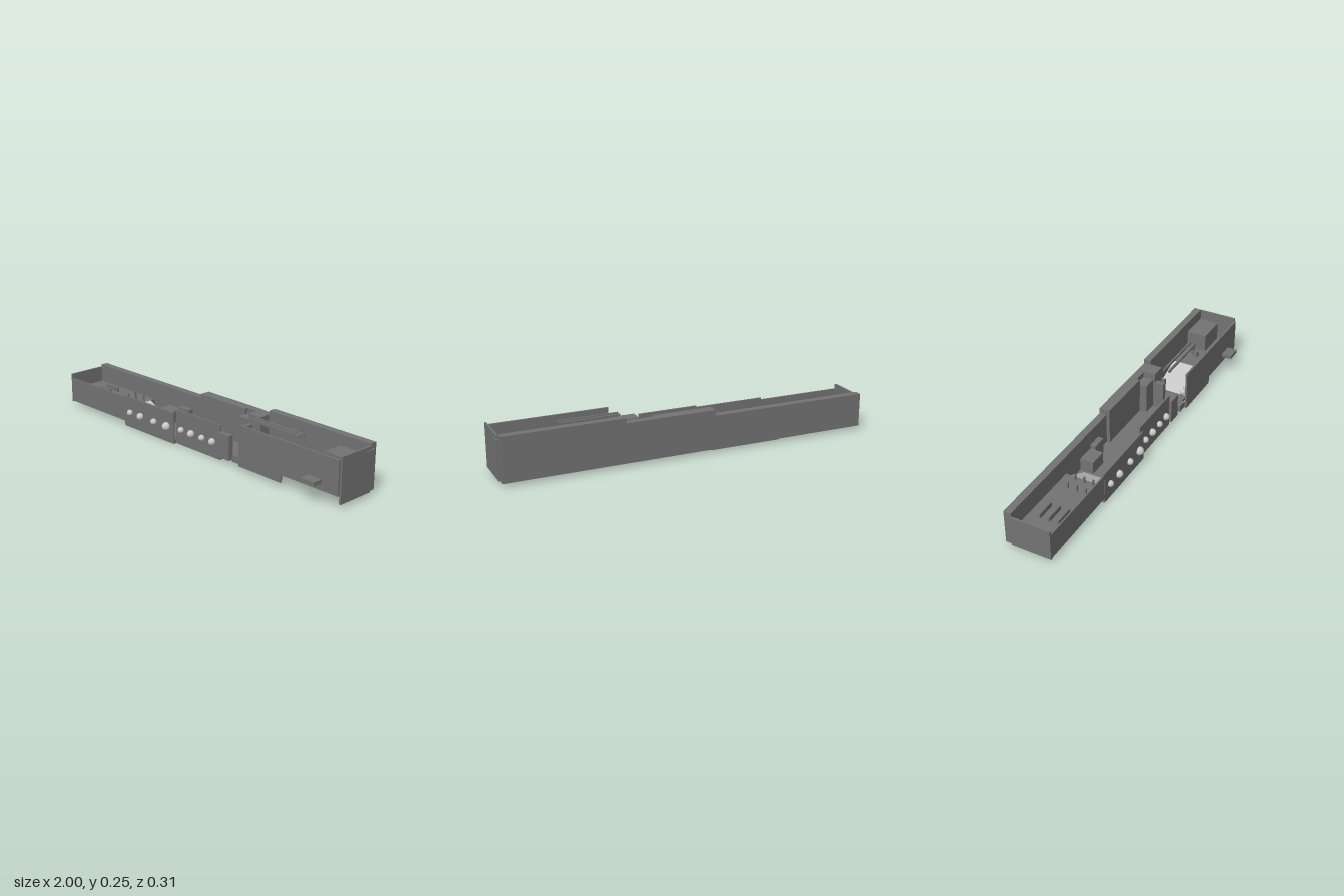
import * as THREE from 'three';

export function createModel() {
  const model = new THREE.Group();
  const grey = new THREE.MeshStandardMaterial({ color: 0x747474 });
  grey.name = 'body grey';
  const pale = new THREE.MeshStandardMaterial({ color: 0xc8c8c8 });
  pale.name = 'pale grey';

  // Box given by its extents along each axis
  function box(name, x0, x1, y0, y1, z0, z1, parent = model) {
    const mesh = new THREE.Mesh(new THREE.BoxGeometry(x1 - x0, y1 - y0, z1 - z0), grey);
    mesh.name = name;
    mesh.position.set((x0 + x1) / 2, (y0 + y1) / 2, (z0 + z1) / 2);
    parent.add(mesh);
    return mesh;
  }

  function group(name) {
    const g = new THREE.Group();
    g.name = name;
    model.add(g);
    return g;
  }

  // Sloping floor plate between two heights
  function ramp(name, x0, y0, x1, y1, z0, z1) {
    const s = new THREE.Shape();
    s.moveTo(x0, y0 - 0.012);
    s.lineTo(x1, y1 - 0.012);
    s.lineTo(x1, y1);
    s.lineTo(x0, y0);
    const geo = new THREE.ExtrudeGeometry(s, { depth: z1 - z0, bevelEnabled: false });
    const mesh = new THREE.Mesh(geo, pale);
    mesh.name = name;
    mesh.position.z = z0;
    model.add(mesh);
  }

  function ball(name, x, y, z, r, parent) {
    const mesh = new THREE.Mesh(new THREE.SphereGeometry(r, 20, 14), pale);
    mesh.name = name;
    mesh.position.set(x, y, z);
    parent.add(mesh);
  }

  // Back wall, stepping up towards +x
  const back = group('backWall');
  for (const [x0, x1, top] of [[-0.99, -0.125, 0.2], [-0.125, 0.355, 0.23], [0.355, 0.985, 0.255]]) {
    box('backWallSection', x0, x1, 0.02, top, -0.157, -0.118, back);
  }

  // End plates
  box('rightEndPlate', -1, -0.99, 0.02, 0.185, -0.118, 0.092);
  box('leftEndPlate', 0.985, 0.995, 0.02, 0.25, -0.118, 0.092);
  box('endTab', 0.985, 1, 0.227, 0.232, -0.13, -0.082);

  // Floors: raised at both ends, low in the middle
  box('rightRaisedFloor', -0.99, -0.52, 0.025, 0.1, -0.118, 0.092);
  box('lowFloor', -0.52, 0.2, 0.02, 0.035, -0.118, 0.075);
  box('connectingFloor', 0.2, 0.44, 0.02, 0.035, -0.118, 0.06);
  box('leftRaisedFloor', 0.64, 0.985, 0.085, 0.1, -0.118, 0.092);
  box('widePad', -0.52, -0.125, 0, 0.02, -0.118, 0.092);
  box('narrowPad', -0.125, 0.2, 0, 0.02, -0.097, 0.075);
  ramp('rightRamp', -0.52, 0.1, -0.4, 0.035, -0.09, 0.09);
  ramp('leftRamp', 0.44, 0.035, 0.64, 0.1, -0.118, 0.092);

  // Front panels
  box('rightFrontLip', -0.99, -0.52, 0.1, 0.16, 0.084, 0.092);
  box('outerFrontPanel', -0.52, -0.125, 0, 0.17, 0.086, 0.094);
  box('innerFrontPanel', -0.125, 0.2, 0, 0.185, 0.066, 0.075);
  box('leftFrontPanel', 0.355, 0.64, 0.02, 0.235, 0.092, 0.102);
  box('leftUpperPanel', 0.64, 0.985, 0.06, 0.235, 0.092, 0.102);
  box('sideStep', 0.81, 0.89, 0.095, 0.115, 0.09, 0.157);

  // Joint between the two halves
  const joint = group('joint');
  box('jointFront', 0.2, 0.275, 0.02, 0.15, 0.06, 0.088, joint);
  box('jointLowBlock', 0.3, 0.355, 0.025, 0.06, 0.05, 0.09, joint);
  box('jointPost', 0.275, 0.3, 0.02, 0.185, -0.08, 0.0, joint);
  box('jointBackBlock', 0.2, 0.275, 0.02, 0.2, -0.118, -0.06, joint);
  box('jointTallBlock', 0.275, 0.355, 0.02, 0.235, -0.118, -0.05, joint);

  // Stepped boxes along the back wall
  box('deepBench', -0.39, -0.29, 0.035, 0.1, -0.118, -0.045);
  box('shallowBench', -0.29, -0.21, 0.035, 0.12, -0.118, -0.088);
  box('wallLedge', -0.125, 0.2, 0.035, 0.23, -0.118, -0.1);

  // Bars and pegs on the raised floor
  const fittings = group('floorFittings');
  for (const z of [-0.055, -0.005, 0.045]) {
    box('floorBar', -0.86, -0.76, 0.1, 0.125, z - 0.005, z + 0.005, fittings);
    for (const x of [-0.61, -0.54]) box('peg', x - 0.004, x + 0.004, 0.1, 0.135, z - 0.004, z + 0.004, fittings);
  }

  // Long rails and equipment in the left half
  for (const z of [-0.03, 0]) box('rail', 0.34, 0.66, 0.225, 0.237, z - 0.005, z + 0.005);
  box('leftCabinet', 0.81, 0.975, 0.1, 0.2, -0.116, -0.005);
  box('frontLocker', 0.72, 0.8, 0.1, 0.13, 0.065, 0.09);
  for (const [x, z] of [[0.4, -0.065], [0.74, -0.03], [0.77, -0.07]]) {
    box('smallBox', x - 0.011, x + 0.011, 0.035, 0.13, z - 0.013, z + 0.013);
  }

  // Round knobs along the front
  const knobs = group('knobs');
  for (const [x, r] of [[-0.47, 0.017], [-0.385, 0.02], [-0.275, 0.018], [-0.175, 0.023]]) {
    ball('outerKnob', x, 0.085, 0.1, r, knobs);
  }
  for (const [x, r] of [[-0.08, 0.017], [-0.005, 0.02], [0.075, 0.017], [0.15, 0.019]]) {
    ball('innerKnob', x, 0.085, 0.083, r, knobs);
  }
  for (const x of [0.38, 0.42]) ball('insideKnob', x, 0.1, 0.066, 0.016, knobs);

  return model;
}
